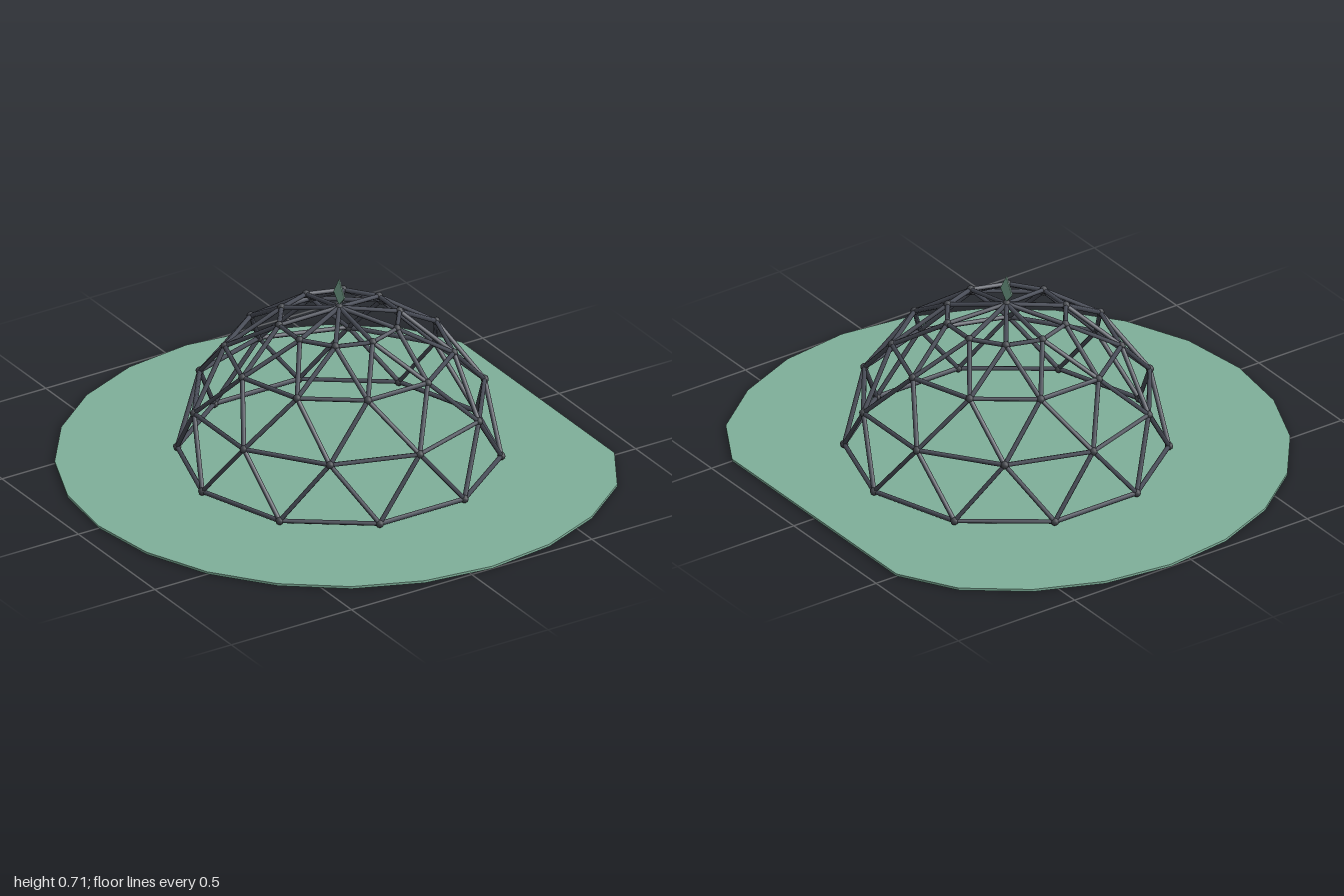
import * as THREE from 'three';

const CX = 0.085;      // dome axis
const BASE_Y = 0.026;  // height of the lowest ring
const R = 0.57;        // dome radius
const SIDES = 10;

function makeMaterial(name, color) {
  const m = new THREE.MeshStandardMaterial({ color });
  m.name = name;
  return m;
}

export function createModel() {
  const green = makeMaterial('sage green', 0x7fb09a);
  const steel = makeMaterial('slate steel', 0x4a4e59);
  const hub = makeMaterial('hub grey', 0x42454b);

  const model = new THREE.Group();
  model.name = 'geodesicDome';
  const add = (parent, name, geometry, material) => {
    const mesh = new THREE.Mesh(geometry, material);
    mesh.name = name;
    parent.add(mesh);
    return mesh;
  };

  // Ground disc with 24 sides, cut straight on one side
  const outline = [];
  for (let i = 0; i < 24; i++) {
    const a = (i / 24) * Math.PI * 2;
    if (Math.cos(a) > 0.9) continue;
    outline.push(new THREE.Vector2(CX + Math.min(Math.cos(a), 0.827), Math.sin(a)));
  }
  const disc = new THREE.ExtrudeGeometry(new THREE.Shape(outline), { depth: 0.009, bevelEnabled: false });
  disc.rotateX(-Math.PI / 2);
  add(model, 'ground', disc, green);

  // Rings of joints, every other one turned by half a step
  const rings = [];
  for (let level = 0; level < 4; level++) {
    const lat = (level * Math.PI) / 8;
    const ring = [];
    for (let i = 0; i < SIDES; i++) {
      const a = ((i + (level % 2) * 0.5) / SIDES) * Math.PI * 2;
      ring.push(new THREE.Vector3(
        CX + R * Math.cos(lat) * Math.cos(a),
        BASE_Y + R * Math.sin(lat),
        R * Math.cos(lat) * Math.sin(a)));
    }
    rings.push(ring);
  }
  const apex = new THREE.Vector3(CX, BASE_Y + R, 0);

  // Struts between joints
  const struts = new THREE.Group();
  struts.name = 'struts';
  model.add(struts);
  const up = new THREE.Vector3(0, 1, 0);
  const addStrut = (a, b) => {
    const dir = b.clone().sub(a);
    const mesh = add(struts, 'strut', new THREE.CylinderGeometry(0.0085, 0.0085, dir.length(), 6), steel);
    mesh.position.copy(a).add(b).multiplyScalar(0.5);
    mesh.quaternion.setFromUnitVectors(up, dir.normalize());
  };
  rings.forEach((ring, level) => {
    const next = rings[level + 1];
    for (let i = 0; i < SIDES; i++) {
      addStrut(ring[i], ring[(i + 1) % SIDES]);
      if (next) {
        const shift = level % 2 ? 1 : SIDES - 1;
        addStrut(ring[i], next[i]);
        addStrut(ring[i], next[(i + shift) % SIDES]);
      } else {
        addStrut(ring[i], apex);
      }
    }
  });

  // Joints
  const joints = new THREE.Group();
  joints.name = 'joints';
  model.add(joints);
  const ball = new THREE.SphereGeometry(0.015, 8, 6);
  for (const p of [...rings.flat(), apex]) add(joints, 'joint', ball, hub).position.copy(p);

  // Flat kite-shaped finial standing on the apex
  const kite = new THREE.Shape([
    new THREE.Vector2(0, 0.605),
    new THREE.Vector2(0.035, 0.645),
    new THREE.Vector2(0, 0.706),
    new THREE.Vector2(-0.035, 0.645),
  ]);
  const finial = new THREE.ExtrudeGeometry(kite, { depth: 0.004, bevelEnabled: false });
  finial.translate(0, 0, -0.002).rotateY(Math.PI / 2).translate(CX, 0, 0);
  add(model, 'finial', finial, green);

  return model;
}
